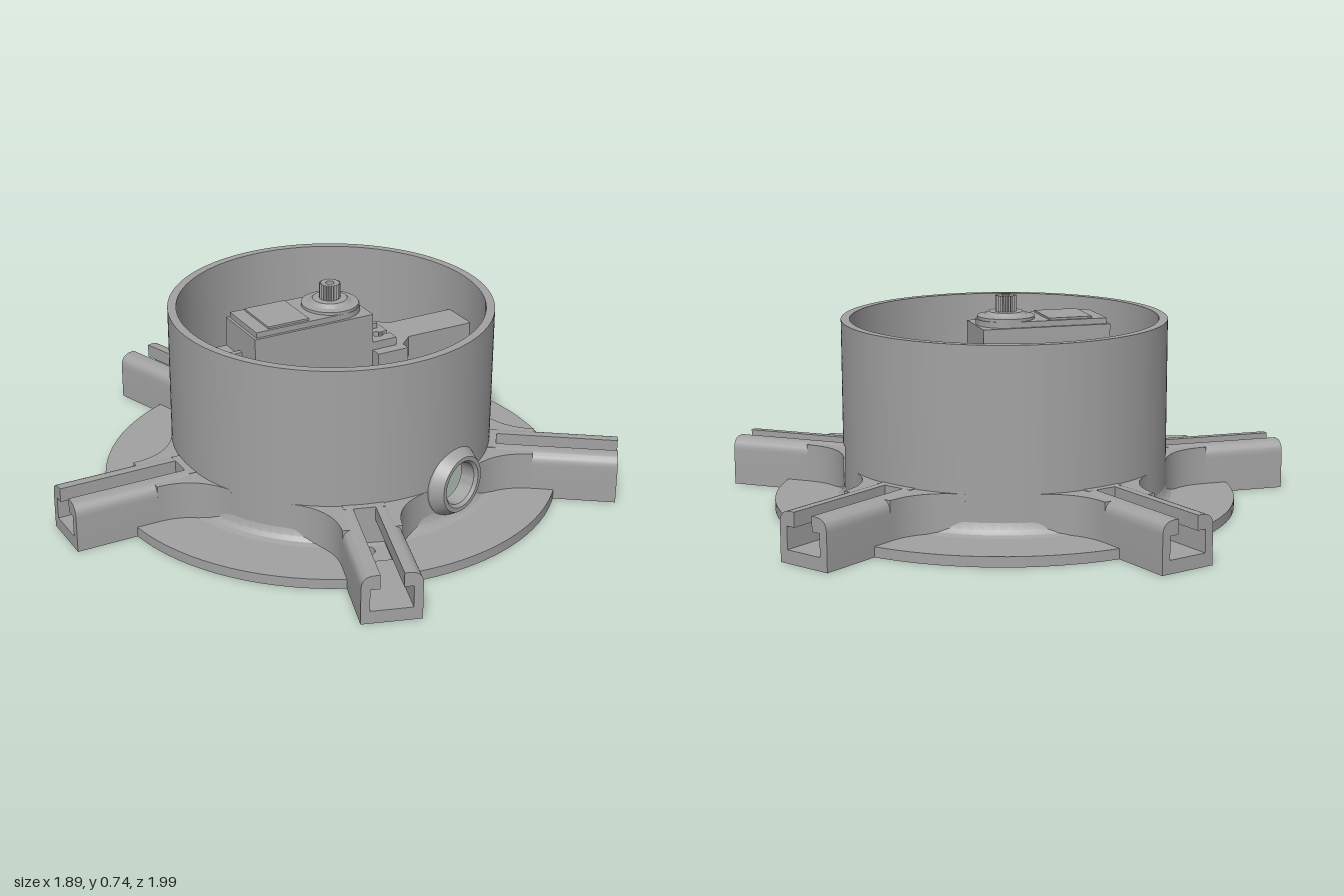
import * as THREE from 'three';
import { toCreasedNormals } from 'three/addons/utils/BufferGeometryUtils.js';

const grey = new THREE.MeshStandardMaterial({ color: 0xa2a2a2 });
grey.name = 'grey plastic';

const CX = 0.065;            // centre of the ring on x
const R_OUT = 0.565, R_IN = 0.535, R_FLANGE = 0.805;
const rad = THREE.MathUtils.degToRad;

function add(parent, name, geometry, x = 0, y = 0, z = 0) {
  const mesh = new THREE.Mesh(geometry, grey);
  mesh.name = name;
  mesh.position.set(x, y, z);
  parent.add(mesh);
  return mesh;
}

// Plan shape (x, z) raised from y0 to y1
function slab(shape, y0, y1, segments = 16) {
  const g = new THREE.ExtrudeGeometry(shape, { depth: y1 - y0, bevelEnabled: false, curveSegments: segments });
  g.rotateX(Math.PI / 2).translate(0, y1, 0);
  return toCreasedNormals(g, 0.5);
}

function box(parent, name, x0, x1, y0, y1, z0, z1) {
  return add(parent, name, new THREE.BoxGeometry(x1 - x0, y1 - y0, z1 - z0),
    (x0 + x1) / 2, (y0 + y1) / 2, (z0 + z1) / 2);
}

function polygon(points) {
  return new THREE.Shape(points.map(([x, y]) => new THREE.Vector2(x, y)));
}

function hole(shape, x, y, r) {
  const p = new THREE.Path();
  p.absarc(x, y, r, 0, Math.PI * 2, true);
  shape.holes.push(p);
}

function arcWall(a0, a1, y0, y1) {
  const s = new THREE.Shape();
  s.absarc(0, 0, R_OUT, rad(a0), rad(a1), false);
  s.absarc(0, 0, R_IN, rad(a1), rad(a0), true);
  return slab(s, y0, y1, Math.max(8, Math.round((a1 - a0) / 4)));
}

function lathe(points, segments = 48) {
  return toCreasedNormals(new THREE.LatheGeometry(points.map(([x, y]) => new THREE.Vector2(x, y)), segments), 0.5);
}

// Housing wall, left open at the side window and the round port
function buildWall(base) {
  const wall = new THREE.Group();
  wall.name = 'housingWall';
  base.add(wall);
  const H = 0.66;
  [[22, 62.2, 0, H], [79.8, 363, 0, H],
    [3, 22, 0, 0.06], [3, 22, 0.23, H],
    [62.2, 79.8, 0, 0.08], [62.2, 79.8, 0.25, H],
  ].forEach((a) => add(wall, 'wallSection', arcWall(...a)));

  // Collar around the port
  const collar = add(base, 'portCollar', lathe([
    [0.075, 0], [0.125, 0], [0.125, 0.025], [0.1, 0.065], [0.085, 0.065], [0.075, 0.055], [0.075, 0],
  ]));
  const a = rad(71);
  collar.position.set(Math.cos(a) * R_IN, 0.165, Math.sin(a) * R_IN);
  collar.quaternion.setFromUnitVectors(new THREE.Vector3(0, 1, 0), new THREE.Vector3(Math.cos(a), 0, Math.sin(a)));

  // Small fillet where the wall meets the flange
  add(base, 'wallFillet', lathe([[0.61, 0.034], [0.585, 0.04], [0.572, 0.053], [0.564, 0.08]], 96));
}

function buildFlange(base) {
  const s = new THREE.Shape();
  s.absarc(0, 0, R_FLANGE, 0, Math.PI * 2, false);
  hole(s, 0, 0, R_IN);
  for (let i = 0; i < 5; i++) {
    const a = Math.PI + i * Math.PI * 0.4;
    hole(s, Math.cos(a) * 0.635, Math.sin(a) * 0.635, 0.028);
  }
  add(base, 'flange', slab(s, 0, 0.035, 48));
}

// Radial arm: a T-slot channel running outwards along local +z
function buildArm() {
  const arm = new THREE.Group();
  arm.name = 'slottedArm';
  const H = 0.172, W = 0.1, C = 0.045;

  function extrudeAlong(shape, z0, z1) {
    const g = new THREE.ExtrudeGeometry(shape, { depth: z1 - z0, bevelEnabled: false, curveSegments: 8 });
    return toCreasedNormals(g.translate(0, 0, z0), 0.5);
  }
  for (const side of [-1, 1]) {
    // Side wall with a lip over the slot and a rounded shoulder
    const s = new THREE.Shape();
    s.moveTo(side * 0.07, 0);
    s.lineTo(side * W, 0);
    s.lineTo(side * W, H - C);
    s.quadraticCurveTo(side * W, H, side * (W - C), H);
    s.lineTo(side * 0.038, H);
    s.lineTo(side * 0.038, 0.122);
    s.lineTo(side * 0.07, 0.122);
    s.closePath();
    add(arm, 'armSide', extrudeAlong(s, 0.552, 1.015));

    // Curved gusset blending the arm into the wall
    const gusset = (cut) => {
      const f = new THREE.Shape();
      f.moveTo(side * 0.075, 0.553);
      f.lineTo(side * 0.075, 0.72);
      f.lineTo(side * 0.1, 0.72 - cut);
      f.quadraticCurveTo(side * 0.1, 0.577, side * 0.239, 0.512);
      f.lineTo(side * 0.2324, 0.4985);
      f.closePath();
      return f;
    };
    add(arm, 'armGusset', slab(gusset(0), 0.02, H - 0.003, 14));
  }
  box(arm, 'armFloor', -0.07, 0.07, 0, 0.045, 0.72, 1.015);
  box(arm, 'slotEnd', -0.07, 0.07, 0.02, H, 0.552, 0.59);
  return arm;
}

// Screw tabs inside the ring
function buildTab(side) {
  const s = new THREE.Shape();
  s.moveTo(-0.05, 0.535);
  s.lineTo(0.05, 0.535);
  s.lineTo(0.05, 0.445);
  s.quadraticCurveTo(0.05, 0.41, 0.015, 0.41);
  s.lineTo(-0.015, 0.41);
  s.quadraticCurveTo(-0.05, 0.41, -0.05, 0.445);
  s.closePath();
  hole(s, 0, 0.468, 0.025);
  const g = slab(s, 0, 0.14);
  return side < 0 ? g.rotateY(Math.PI) : g;
}

// Upright U-shaped board holder on the inner wall
function buildHolder(base) {
  const holder = new THREE.Group();
  holder.name = 'boardHolder';
  holder.rotation.y = rad(-24);
  base.add(holder);
  const y0 = 0.1, y1 = 0.56;
  box(holder, 'holderBack', -0.125, 0.125, y0, y1, 0.495, 0.525);
  for (const s of [-1, 1]) {
    const m = box(holder, 'holderSide', -0.0125, 0.0125, y0, y1, 0.44, 0.51);
    m.position.x = s * 0.115;
    const lip = box(holder, 'holderLip', -0.02, 0.02, y0, y1, 0.435, 0.45);
    lip.position.x = s * 0.1;
  }
  box(holder, 'holderFloor', -0.125, 0.125, y0, y0 + 0.03, 0.44, 0.525);
}

function buildServo(group) {
  const servo = new THREE.Group();
  servo.name = 'servo';
  group.add(servo);
  box(servo, 'servoBody', -0.285, 0.17, 0.25, 0.635, -0.11, 0.11);
  const cap = new THREE.Shape();
  cap.moveTo(-0.275, -0.1);
  cap.lineTo(0.065, -0.1);
  cap.absarc(0.065, 0, 0.1, -Math.PI / 2, Math.PI / 2, false);
  cap.lineTo(-0.275, 0.1);
  cap.closePath();
  add(servo, 'servoCap', slab(cap, 0.63, 0.655));
  box(servo, 'servoLabel', -0.225, -0.07, 0.65, 0.662, -0.09, 0.09);

  // Output shaft with a toothed tip
  add(servo, 'shaftBase', lathe([[0, 0.65], [0.1, 0.65], [0.1, 0.665], [0.075, 0.668], [0.06, 0.68], [0, 0.68]]), 0.06, 0, 0);
  const teeth = [];
  for (let i = 0; i < 40; i++) {
    const r = i % 2 ? 0.037 : 0.031, a = i * Math.PI / 20;
    teeth.push([r * Math.cos(a), r * Math.sin(a)]);
  }
  const gear = polygon(teeth);
  hole(gear, 0, 0, 0.015);
  add(servo, 'outputShaft', slab(gear, 0.675, 0.735), 0.06, 0, 0);

  // Mounting ears with slotted screw holes
  for (const side of [-1, 1]) {
    const s = polygon([[0, -0.11], [0.095, -0.11], [0.095, -0.066], [0.06, -0.066], [0.06, -0.046],
      [0.095, -0.046], [0.095, 0.046], [0.06, 0.046], [0.06, 0.066], [0.095, 0.066], [0.095, 0.11], [0, 0.11]]);
    hole(s, 0.05, -0.056, 0.02);
    hole(s, 0.05, 0.056, 0.02);
    const ear = add(servo, 'servoEar', slab(s, 0.5, 0.53), side < 0 ? -0.285 : 0.17, 0, 0);
    if (side < 0) ear.rotation.y = Math.PI;
    box(servo, 'earRib', side < 0 ? -0.36 : 0.17, side < 0 ? -0.285 : 0.245, 0.525, 0.55, -0.01, 0.01);
  }

  // Brackets carrying the servo from the wall
  box(group, 'rearBracket', -0.463, -0.286, 0.38, 0.5, -0.15, 0.15);
  const bracket = polygon([[0.171, -0.15], [0.29, -0.15], [0.29, -0.115], [0.34, -0.07], [0.598, -0.07],
    [0.598, 0.07], [0.34, 0.07], [0.29, 0.115], [0.29, 0.15], [0.171, 0.15]]);
  add(group, 'frontBracket', slab(bracket, 0.38, 0.5));
}

export function createModel() {
  const model = new THREE.Group();
  model.name = 'servoHousing';
  const base = new THREE.Group();
  base.name = 'base';
  base.position.x = CX;
  model.add(base);

  buildFlange(base);
  buildWall(base);
  for (let i = 0; i < 5; i++) {
    const arm = buildArm();
    arm.rotation.y = -Math.PI / 2 + i * Math.PI * 0.4;
    base.add(arm);
  }
  for (const side of [-1, 1]) add(base, 'screwTab', buildTab(side));
  buildHolder(base);
  buildServo(model);
  return model;
}
